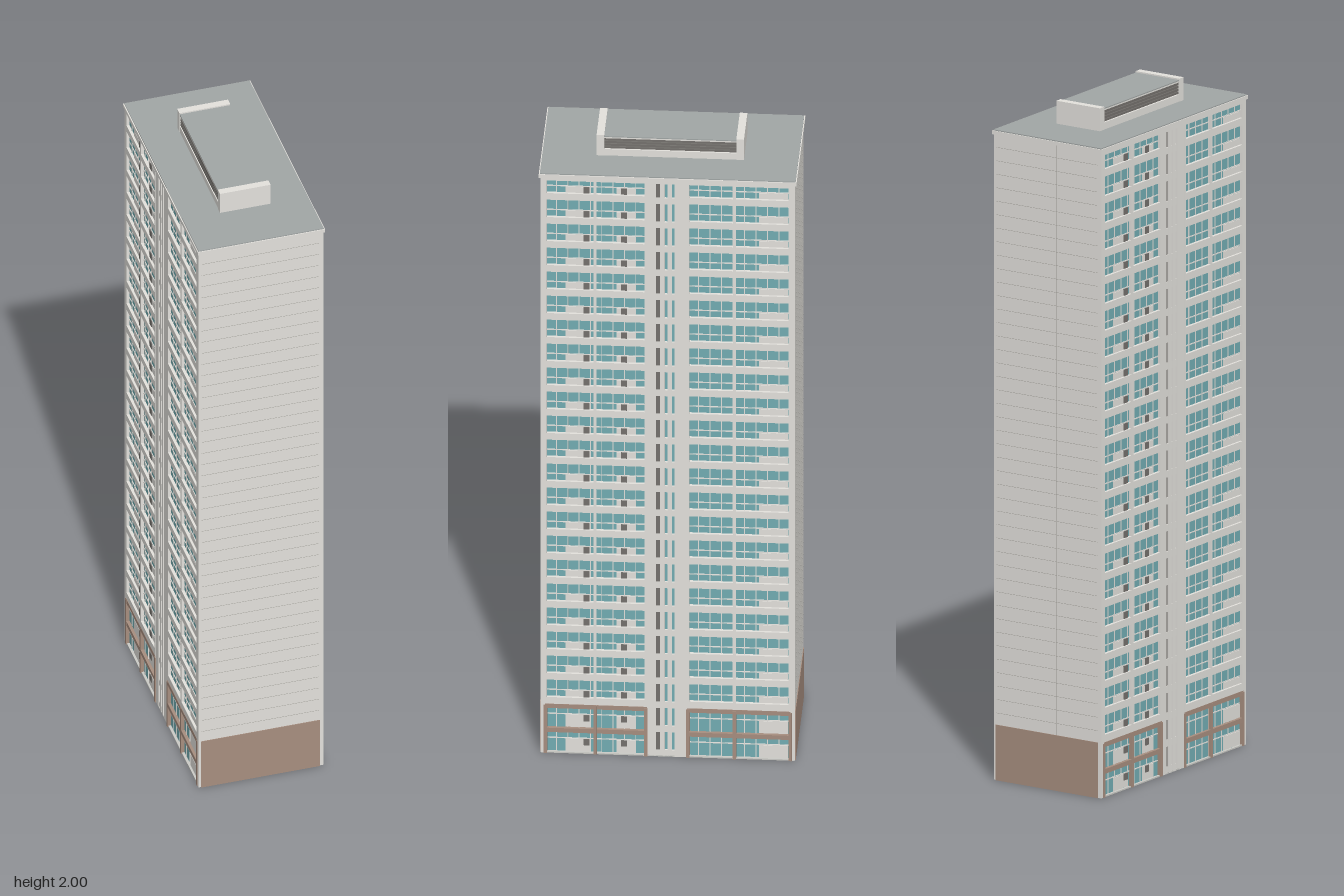
import * as THREE from 'three';
import { mergeGeometries } from 'three/addons/utils/BufferGeometryUtils.js';

const material = (name, color) => {
  const m = new THREE.MeshStandardMaterial({ color });
  m.name = name;
  return m;
};

// One mesh made of many boxes, each given as [x0, x1, y0, y1, z0, z1]
function boxes(name, mat, list) {
  const geos = list.map(([x0, x1, y0, y1, z0, z1]) =>
    new THREE.BoxGeometry(x1 - x0, y1 - y0, z1 - z0)
      .translate((x0 + x1) / 2, (y0 + y1) / 2, (z0 + z1) / 2));
  const mesh = new THREE.Mesh(mergeGeometries(geos), mat);
  mesh.name = name;
  return mesh;
}

export function createModel() {
  const wall = material('pale concrete', 0xe3e1dc);
  const roofGrey = material('roof grey', 0xa1a6a5);
  const underside = material('underside grey', 0xcbcbc6);
  const glass = material('teal glass', 0x72acb2);
  const brown = material('brown cladding', 0xa78e7f);
  const dark = material('dark metal', 0x74716d);
  const seamGrey = material('seam grey', 0xaaa8a2);

  const FLOORS = 24, H = 0.08, TOP = FLOORS * H, BASE = 2;
  const GX = 0.178;             // glass plane
  const FX = 0.187;             // facade plane
  const HZ = 0.366;             // half length
  const CORE = [0.06, -0.055];  // stair core between the two wings
  const WINGS = [[0.353, CORE[0]], [CORE[1], -0.353]];

  const tower = new THREE.Group();
  tower.name = 'tower';

  // Inner volume: glazing behind the facade grid, with a plain floor plate
  tower.add(boxes('glazing', glass, [[-GX, GX, 0.004, TOP, -0.355, 0.355]]));
  tower.add(boxes('groundPlate', underside, [[-FX + 0.001, FX - 0.001, 0, 0.004, -HZ + 0.001, HZ - 0.001]]));

  // One long facade
  function createFacade() {
    const g = new THREE.Group();
    g.name = 'longFacade';
    const bands = [], baseBands = [], sills = [], mullions = [], vents = [], coreWall = [];

    for (let f = 0; f < FLOORS; f++) {
      const y = f * H;
      // Balcony bands
      for (const [a, b] of WINGS) {
        if (f < BASE) baseBands.push([GX, FX + 0.001, y + H - 0.01, y + H + 0.004, b, a]);
        else bands.push([GX, FX, y + 0.004, y + 0.026, b, a]);
      }
      // Solid panels below some windows
      for (const [a, b] of [[0.295, 0.222], [0.148, 0.092], [-0.262, -0.345]])
        sills.push([GX, GX + 0.002, y + 0.005, y + 0.045, b, a]);
      // Small dark vents beside them
      for (const z of [0.234, 0.126])
        vents.push([GX, GX + 0.004, y + 0.026, y + 0.046, z - 0.009, z + 0.009]);
      // Core spandrels
      coreWall.push([GX, FX - 0.003, y, y + 0.02, CORE[1], CORE[0]]);
    }
    // Window mullions and transoms
    for (const [a, b] of WINGS) {
      const n = 9;
      for (let i = 1; i < n; i++) {
        const z = a + ((b - a) * i) / n;
        mullions.push([GX, GX + 0.002, 0.004, TOP, z - 0.0012, z + 0.0012]);
      }
      for (let f = 0; f < FLOORS; f++)
        mullions.push([GX, GX + 0.002, f * H + 0.046, f * H + 0.049, b, a]);
    }
    // Core piers with narrow window slots between them
    for (const [a, b] of [[0.06, 0.034], [0.022, 0.009], [0.001, -0.012], [-0.02, -0.055]])
      coreWall.push([GX, FX - 0.001, 0, TOP, b, a]);

    // Party walls between balconies, brown at the base
    const posts = [], basePosts = [], yB = BASE * H;
    for (const z of [0.352, 0.209, 0.063, -0.058, -0.192, -0.352]) {
      posts.push([GX, FX + 0.0005, yB, TOP, z - 0.004, z + 0.004]);
      basePosts.push([GX, FX + 0.002, 0, yB, z - 0.005, z + 0.005]);
    }
    g.add(
      boxes('balconyBands', wall, bands),
      boxes('baseBands', brown, baseBands),
      boxes('windowSills', wall, sills),
      boxes('mullions', wall, mullions),
      boxes('vents', dark, vents),
      boxes('stairCore', wall, coreWall),
      boxes('coreSlot', dark, [[GX, GX + 0.003, 0, TOP, 0.022, 0.034]]),
      boxes('partyWalls', wall, posts),
      boxes('basePosts', brown, basePosts),
      boxes('topBeam', wall, [[GX, FX, TOP - 0.012, TOP, -HZ, HZ]]),
    );
    return g;
  }

  // One blank end wall with fine panel seams and a brown base
  function createEnd() {
    const g = new THREE.Group();
    g.name = 'endWall';
    const seams = [[0.0295, 0.0305, 0.165, TOP, HZ, HZ + 0.0005]];
    for (let y = 0.2; y < TOP - 0.01; y += H / 2)
      seams.push([-0.178, 0.174, y - 0.0005, y + 0.0005, HZ, HZ + 0.0005]);
    g.add(
      boxes('endPanel', wall, [[-FX, FX, 0.001, TOP, 0.35, HZ]]),
      boxes('panelSeams', seamGrey, seams),
      boxes('brownBase', brown, [[-0.18, 0.176, 0, 0.165, HZ, HZ + 0.002]]),
    );
    return g;
  }

  // Both sides are the same, turned half way round
  for (const turn of [0, Math.PI]) {
    const facade = createFacade(), end = createEnd();
    facade.rotation.y = end.rotation.y = turn;
    tower.add(facade, end);
  }

  // Roof slab with a pale rim
  const RX = 0.191, RZ = 0.371, RY = 1.93;
  tower.add(boxes('roofRim', wall, [[-RX, RX, TOP - 0.002, RY - 0.001, -RZ, RZ]]));
  tower.add(boxes('roof', roofGrey, [[-RX + 0.003, RX - 0.003, RY - 0.001, RY + 0.002, -RZ + 0.003, RZ - 0.003]]));

  // Plant room: tall end slabs, louvred sides and a grey top
  const PX = 0.076, PZ = 0.212, slab = 0.022;
  const ends = [], louvres = [], frames = [], back = [];
  for (const s of [-1, 1]) {
    const z0 = s > 0 ? PZ - slab : -PZ;
    ends.push([-PX, PX, RY, 2, z0, z0 + slab]);
    const side = (d0, d1, y0, y1) => {
      const a = s * (PX - d0), b = s * (PX - d1);
      return [Math.min(a, b), Math.max(a, b), y0, y1, -PZ + slab, PZ - slab];
    };
    frames.push(side(0.001, 0.02, RY, 1.953), side(0.001, 0.02, 1.989, 1.993));
    back.push(side(0.007, 0.02, 1.953, 1.989));
    for (let i = 0; i < 4; i++)
      louvres.push(side(0.003, 0.007, 1.955 + i * 0.009, 1.961 + i * 0.009));
  }
  tower.add(
    boxes('plantRoomEnds', wall, ends),
    boxes('plantRoomFrame', wall, frames),
    boxes('louvreBacking', dark, back),
    boxes('louvres', dark, louvres),
    boxes('plantRoomTop', roofGrey, [[-PX + 0.001, PX - 0.001, 1.993, 1.996, -PZ + slab, PZ - slab]]),
  );

  // The tower stands turned on its plot
  tower.rotation.y = -Math.PI / 8;
  const model = new THREE.Group();
  model.name = 'apartmentTower';
  model.add(tower);
  return model;
}
